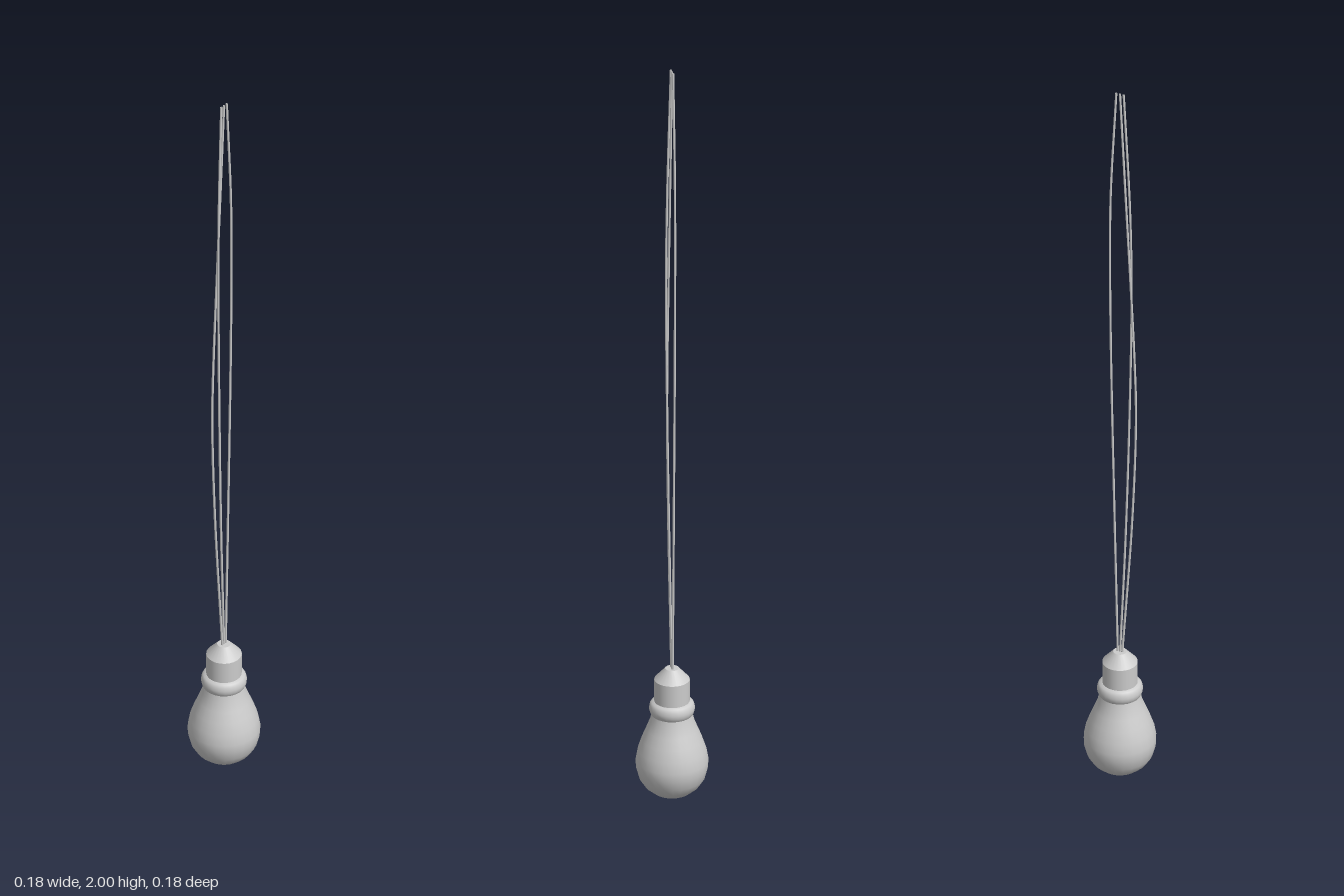
import * as THREE from 'three';

const material = new THREE.MeshStandardMaterial({ color: 0xcccccc, side: THREE.DoubleSide });
const SIDES = 24;

// Surface of revolution; profile is [radius, y] from bottom to top
function lathe(name, profile, flatShading = false) {
  const points = profile.map(([r, y]) => new THREE.Vector2(r, y));
  const geometry = new THREE.LatheGeometry(points, SIDES);
  const mesh = new THREE.Mesh(geometry, material);
  mesh.name = name;
  if (flatShading) {
    mesh.material = material.clone();
    mesh.material.flatShading = true;
  }
  return mesh;
}

// Thin hanging cord through a few points
function cord(name, points) {
  const curve = new THREE.CatmullRomCurve3(points.map((p) => new THREE.Vector3(...p)));
  const mesh = new THREE.Mesh(new THREE.TubeGeometry(curve, 32, 0.003, 8), material);
  mesh.name = name;
  return mesh;
}

export function createModel() {
  const group = new THREE.Group();
  group.name = 'hangingBulb';

  // Pear-shaped glass bulb
  group.add(lathe('glassBulb', [
    [0, 0], [0.025, 0.003], [0.048, 0.013], [0.068, 0.03], [0.082, 0.052], [0.089, 0.078],
    [0.09, 0.1], [0.085, 0.128], [0.075, 0.157], [0.064, 0.184], [0.055, 0.207], [0.05, 0.23],
  ]));

  // Rounded collar between glass and socket
  group.add(lathe('collar', [
    [0.048, 0.222], [0.053, 0.227], [0.056, 0.235], [0.057, 0.243],
    [0.055, 0.252], [0.051, 0.258], [0.044, 0.261],
  ]));

  // Cylindrical socket with a conical cap
  group.add(lathe('socket', [[0.044, 0.255], [0.044, 0.32]]));
  group.add(lathe('socketCap', [[0.044, 0.32], [0.017, 0.35]]));
  group.add(lathe('capTop', [[0.017, 0.35], [0, 0.35]]));

  // Three slack cords bowing out and meeting at both ends
  group.add(cord('leftCord', [
    [0.006, 0.345, 0], [0.016, 0.8, 0], [0.024, 1.2, 0], [0.027, 1.5, 0],
    [0.025, 1.7, 0], [0.01, 2, 0],
  ]));
  group.add(cord('middleCord', [
    [0, 0.345, 0], [-0.014, 0.7, 0.003], [-0.024, 1.1, 0.006], [-0.028, 1.4, 0.007],
    [-0.025, 1.65, 0.005], [-0.01, 2, 0],
  ]));
  group.add(cord('rightCord', [
    [-0.006, 0.345, 0], [-0.033, 0.75, 0], [-0.043, 1.05, 0], [-0.039, 1.22, 0],
    [-0.028, 1.45, 0], [-0.015, 1.7, 0], [0, 2, 0],
  ]));

  return group;
}
